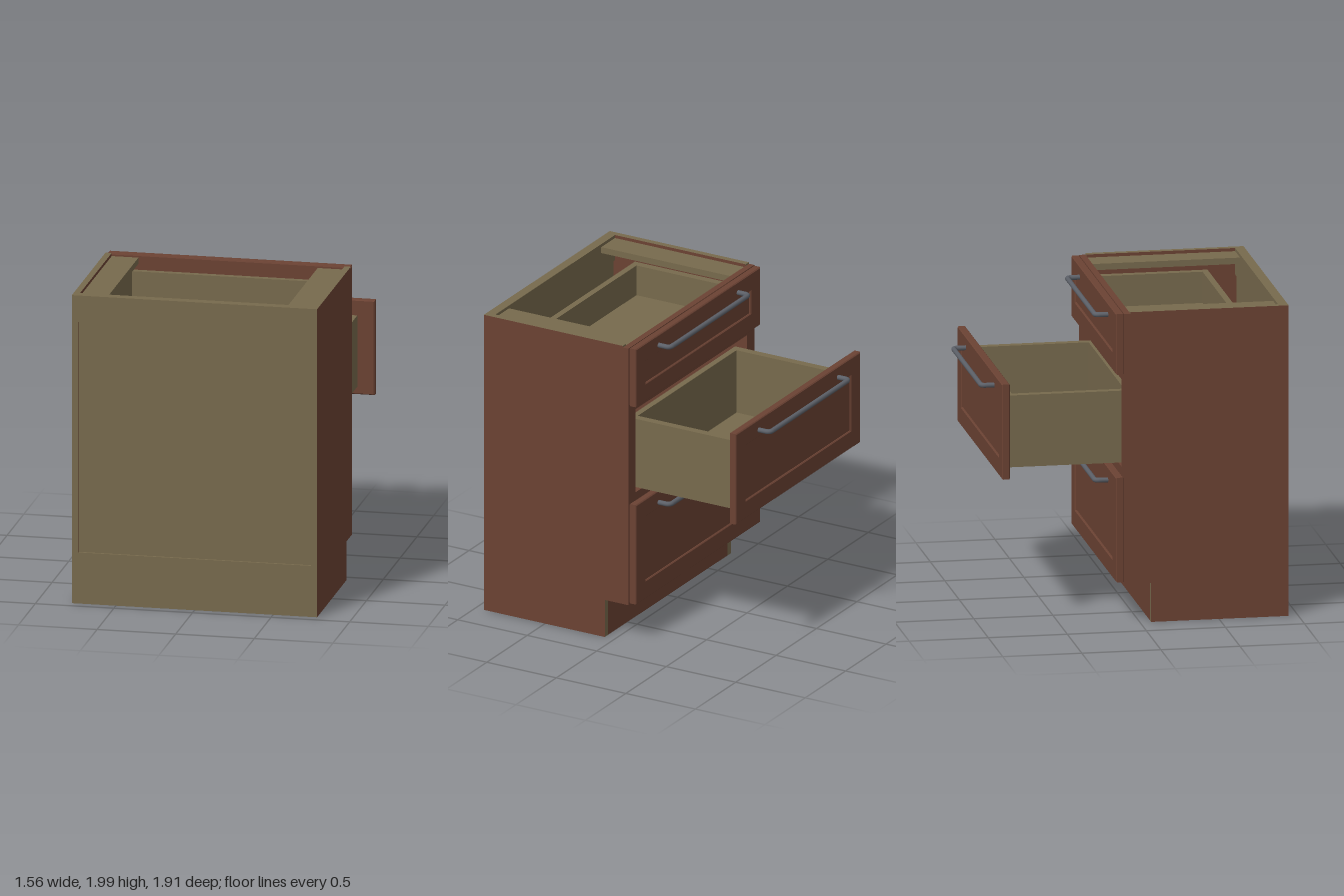
import * as THREE from 'three';

const wood = new THREE.MeshStandardMaterial({ color: 0x6b4233 });
const ply = new THREE.MeshStandardMaterial({ color: 0x776a4d });
const metal = new THREE.MeshStandardMaterial({ color: 0x5c6068 });

// Box given by its minimum and maximum corners
function slab(parent, name, mat, [x0, y0, z0], [x1, y1, z1]) {
  const mesh = new THREE.Mesh(new THREE.BoxGeometry(x1 - x0, y1 - y0, z1 - z0), mat);
  mesh.position.set((x0 + x1) / 2, (y0 + y1) / 2, (z0 + z1) / 2);
  mesh.name = name;
  parent.add(mesh);
  return mesh;
}

// Side panel with a toe-kick notch, wooden faces and plain edges
function sidePanel(x) {
  const s = new THREE.Shape();
  [[-0.94, 0.01], [-0.07, 0.01], [-0.07, 0.26], [0.06, 0.26], [0.06, 2], [-0.94, 2]]
    .forEach(([px, py], i) => (i ? s.lineTo(px, py) : s.moveTo(px, py)));
  const geo = new THREE.ExtrudeGeometry(s, { depth: 0.04, bevelEnabled: false });
  geo.rotateY(Math.PI / 2); // shape x becomes -z, depth becomes +x
  const mesh = new THREE.Mesh(geo, [wood, ply]);
  mesh.position.x = x;
  mesh.name = 'sidePanel';
  return mesh;
}

// Framed drawer front with a shallow recessed centre panel
function drawerFront(y0, y1) {
  const w = 0.77, b = 0.12;
  const s = new THREE.Shape();
  s.moveTo(-w, y0).lineTo(w, y0).lineTo(w, y1).lineTo(-w, y1).closePath();
  const hole = new THREE.Path();
  hole.moveTo(-w + b, y0 + b).lineTo(-w + b, y1 - b).lineTo(w - b, y1 - b).lineTo(w - b, y0 + b).closePath();
  s.holes.push(hole);
  const group = new THREE.Group();
  group.name = 'drawerFront';
  const bevel = 0.006;
  const frame = new THREE.Mesh(new THREE.ExtrudeGeometry(s, {
    depth: 0.05 - 2 * bevel, bevelSize: bevel, bevelOffset: -bevel, bevelThickness: bevel, bevelSegments: 1,
  }), wood);
  frame.position.z = -0.15 + bevel;
  frame.name = 'frontFrame';
  group.add(frame);
  slab(group, 'frontPanel', wood, [-w + b - 0.01, y0 + b - 0.01, -0.138], [w - b + 0.01, y1 - b + 0.01, -0.105]);
  return group;
}

// Bar handle bent back to the front at both ends
function handle(y) {
  const x = 0.49, z0 = -0.145, z1 = -0.23, r = 0.03;
  const v = (a, c) => new THREE.Vector3(a, y, c);
  const path = new THREE.CurvePath();
  path.add(new THREE.LineCurve3(v(-x, z0), v(-x, z1 + r)));
  path.add(new THREE.QuadraticBezierCurve3(v(-x, z1 + r), v(-x, z1), v(-x + r, z1)));
  path.add(new THREE.LineCurve3(v(-x + r, z1), v(x - r, z1)));
  path.add(new THREE.QuadraticBezierCurve3(v(x - r, z1), v(x, z1), v(x, z1 + r)));
  path.add(new THREE.LineCurve3(v(x, z1 + r), v(x, z0)));
  const mesh = new THREE.Mesh(new THREE.TubeGeometry(path, 160, 0.016, 10), metal);
  mesh.name = 'handle';
  return mesh;
}

// Drawer: open-topped box, front and handle
function drawer(name, y0, y1, b0, b1, handleY, pull) {
  const g = new THREE.Group();
  g.name = name;
  const w = 0.66, t = 0.05, back = 0.69;
  for (const s of [-1, 1]) {
    slab(g, 'drawerSide', ply, [s > 0 ? w - t : -w, b0, -0.1], [s > 0 ? w : -w + t, b1, back]);
  }
  slab(g, 'drawerBack', ply, [-w + t, b0, back - 0.04], [w - t, b1, back]);
  slab(g, 'drawerInnerFront', ply, [-w + t, b0, -0.1], [w - t, b1, -0.06]);
  slab(g, 'drawerFloor', ply, [-w + t, b0 + 0.015, -0.06], [w - t, b0 + 0.04, back - 0.04]);
  g.add(drawerFront(y0, y1), handle(handleY));
  g.position.z = -pull;
  return g;
}

export function createModel() {
  const model = new THREE.Group();
  model.name = 'drawerCabinet';

  // Carcass sides, top ledges and face-frame stiles
  for (const s of [-1, 1]) {
    const span = (a, b) => (s > 0 ? [a, b] : [-b, -a]);
    model.add(sidePanel(s > 0 ? 0.74 : -0.78));
    const [l0, l1] = span(0.57, 0.74);
    slab(model, 'topLedge', ply, [l0, 1.94, -0.06], [l1, 1.98, 0.88]);
    const [f0, f1] = span(0.69, 0.78);
    slab(model, 'faceStile', wood, [f0, 0.26, -0.1], [f1, 1.99, -0.06]);
  }

  // Face-frame rails: bottom, between drawers, top
  for (const [y0, y1] of [[0.26, 0.31], [0.92, 0.99], [1.55, 1.62], [1.94, 1.99]]) {
    slab(model, 'faceRail', wood, [-0.69, y0, -0.1], [0.69, y1, -0.06]);
  }
  slab(model, 'toeKick', wood, [-0.74, 0.01, 0.07], [0.74, 0.26, 0.11]);

  // Back: two flush rails and a slightly recessed panel
  slab(model, 'backTopRail', ply, [-0.74, 1.83, 0.88], [0.74, 2, 0.94]);
  slab(model, 'backBottomRail', ply, [-0.74, 0.01, 0.88], [0.74, 0.34, 0.94]);
  slab(model, 'backPanel', ply, [-0.74, 0.34, 0.89], [0.74, 1.83, 0.925]);

  // Drawers, the middle one pulled open
  model.add(
    drawer('topDrawer', 1.6, 1.99, 1.65, 1.89, 1.92, 0),
    drawer('middleDrawer', 0.96, 1.57, 1.01, 1.47, 1.5, 0.72),
    drawer('bottomDrawer', 0.27, 0.94, 0.33, 0.84, 0.86, 0),
  );
  return model;
}
